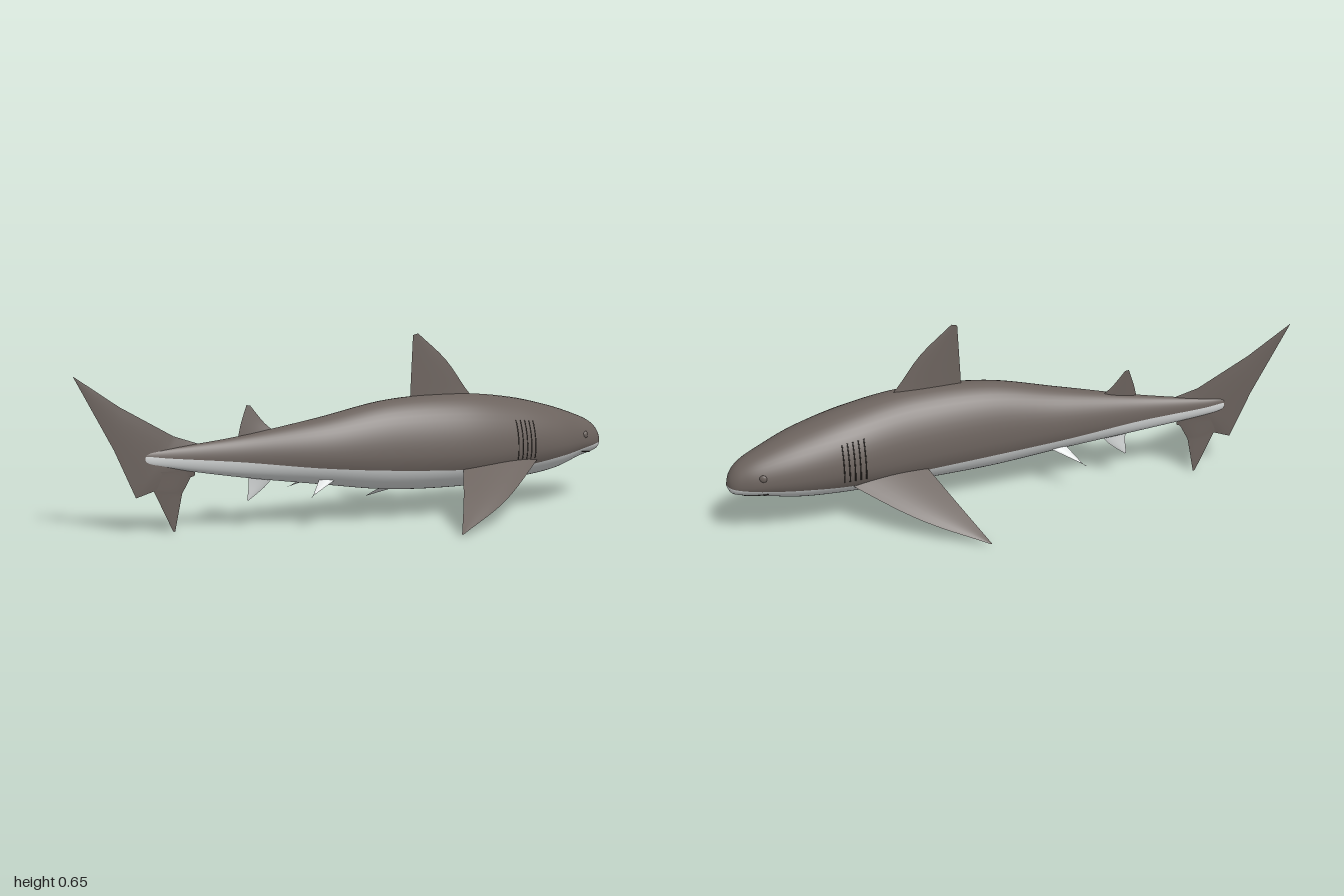
import * as THREE from 'three';

const V = (p) => new THREE.Vector3(...p);
const paint = (name, color) => {
  const m = new THREE.MeshStandardMaterial({ color });
  m.name = name;
  return m;
};

// Body stations, tail to nose: x, top, bottom, centre z, half width, widest y, belly line y
const stations = [
  [-0.772, 0.256, 0.256, -0.104, 0, 0.256, 0.256],
  [-0.76, 0.278, 0.236, -0.103, 0.008, 0.257, 0.264],
  [-0.68, 0.288, 0.218, -0.095, 0.017, 0.253, 0.255],
  [-0.45, 0.318, 0.178, -0.06, 0.042, 0.245, 0.235],
  [-0.18, 0.368, 0.14, -0.023, 0.084, 0.24, 0.205],
  [0.08, 0.42, 0.105, -0.002, 0.11, 0.235, 0.185],
  [0.35, 0.428, 0.096, 0.003, 0.131, 0.23, 0.172],
  [0.57, 0.403, 0.105, -0.018, 0.138, 0.23, 0.167],
  [0.75, 0.36, 0.122, -0.038, 0.124, 0.225, 0.185],
  [0.88, 0.317, 0.155, -0.062, 0.09, 0.22, 0.198],
  [0.95, 0.285, 0.168, -0.071, 0.062, 0.215, 0.205],
  [0.985, 0.25, 0.18, -0.075, 0.036, 0.21, 0.208],
  [1, 0.208, 0.208, -0.077, 0, 0.208, 0.208],
];
const last = stations.length - 1;
const spline = (pick) =>
  new THREE.CatmullRomCurve3(stations.map((s) => V(pick(s))), false, 'catmullrom', 0.5);
const outline = spline((s) => [s[0], s[1], s[2]]);
const girth = spline((s) => [s[3], Math.max(s[4], 0), s[5]]);
const bellyLine = spline((s) => [s[6], 0, 0]);

// Point on the skin at station number s (may be fractional) and angle a
function skin(s, a) {
  const o = outline.getPoint(s / last);
  const g = girth.getPoint(s / last);
  const sin = Math.sin(a);
  const y = g.z + sin * (sin > 0 ? o.y - g.z : g.z - o.z);
  return new THREE.Vector3(o.x, y, g.x + g.y * Math.cos(a));
}

// Angle at which the dark back meets the pale belly
function bellyAngle(s) {
  const o = outline.getPoint(s / last);
  const g = girth.getPoint(s / last);
  const d = bellyLine.getPoint(s / last).x - g.z;
  const h = Math.max(d > 0 ? o.y - g.z : g.z - o.z, 0.002);
  return Math.asin(THREE.MathUtils.clamp(d / h, -0.7, 0.7));
}

function bodyGeometry() {
  const up = 30, down = 22, n = up + down, rings = last * 9;
  const pos = [], index = [];
  for (let i = 0; i <= rings; i++) {
    const s = (i / rings) * last;
    const b = bellyAngle(s);
    for (let j = 0; j < n; j++) {
      const a = j < up
        ? b + (j / up) * (Math.PI - 2 * b)
        : Math.PI - b + ((j - up) / down) * (Math.PI + 2 * b);
      pos.push(...skin(s, a).toArray());
    }
  }
  for (let j = 0; j < n; j++) {
    for (let i = 0; i < rings; i++) {
      const k = (j + 1) % n;
      const a = i * n + j, b = a + n, c = (i + 1) * n + k, d = i * n + k;
      index.push(a, b, c, a, c, d);
    }
  }
  const geo = new THREE.BufferGeometry();
  geo.setAttribute('position', new THREE.Float32BufferAttribute(pos, 3));
  geo.setIndex(index);
  geo.addGroup(0, up * rings * 6, 0);
  geo.addGroup(up * rings * 6, down * rings * 6, 1);
  geo.computeVertexNormals();
  return geo;
}

// Fin lofted from leading edge to trailing edge, thick at the root, sharp at the rim.
// Group 0 is the side facing the normal, group 1 the other side.
function finGeometry(lead, trail, normal, thick, tension = 0.5) {
  const nu = 12, nv = 8;
  const edge = (pts) => new THREE.CatmullRomCurve3(pts.map(V), false, 'catmullrom', tension);
  const L = edge(lead), T = edge(trail), n = V(normal).normalize();
  const across = T.getPoint(0).sub(L.getPoint(0));
  const along = L.getPoint(1).sub(L.getPoint(0));
  const facing = across.cross(along).dot(n);
  const pos = [], index = [];
  const geo = new THREE.BufferGeometry();
  for (const side of [1, -1]) {
    const base = pos.length / 3, start = index.length;
    for (let i = 0; i <= nu; i++) {
      const u = i / nu, l = L.getPoint(u), t = T.getPoint(u);
      for (let j = 0; j <= nv; j++) {
        const v = j / nv;
        const h = thick * (1 - 0.95 * u) * Math.sin(Math.PI * Math.pow(v, 0.8));
        pos.push(...l.clone().lerp(t, v).addScaledVector(n, side * h).toArray());
      }
    }
    for (let i = 0; i < nu; i++) {
      for (let j = 0; j < nv; j++) {
        const a = base + i * (nv + 1) + j, b = a + 1, c = b + nv + 1, d = c - 1;
        if (facing * side > 0) index.push(a, b, c, a, c, d);
        else index.push(a, c, b, a, d, c);
      }
    }
    geo.addGroup(start, index.length - start, side > 0 ? 0 : 1);
  }
  geo.setAttribute('position', new THREE.Float32BufferAttribute(pos, 3));
  geo.setIndex(index);
  geo.computeVertexNormals();
  return geo;
}

export function createModel() {
  const model = new THREE.Group();
  model.name = 'shark';
  const back = paint('backGrey', 0x6b625d);
  const belly = paint('bellyWhite', 0xd6d9d9);
  const dark = paint('slitDark', 0x38332f);
  const add = (name, geo, mat) => {
    const mesh = new THREE.Mesh(geo, mat);
    mesh.name = name;
    model.add(mesh);
    return mesh;
  };

  add('body', bodyGeometry(), [back, belly]);

  // Fins on the midline
  const Z = [0, 0, 1];
  add('dorsalFin', finGeometry(
    [[0.45, 0.385, 0], [0.395, 0.438, 0], [0.31, 0.55, 0], [0.2, 0.647, 0]],
    [[0.17, 0.385, 0], [0.17, 0.43, 0], [0.175, 0.54, 0], [0.18, 0.642, 0]], Z, 0.012), [back, back]);
  add('rearDorsalFin', finGeometry(
    [[-0.32, 0.325, -0.05], [-0.36, 0.362, -0.058], [-0.405, 0.42, -0.065]],
    [[-0.455, 0.3, -0.061], [-0.44, 0.36, -0.063], [-0.418, 0.422, -0.066]], Z, 0.007), [back, back]);
  add('analFin', finGeometry(
    [[-0.32, 0.18, -0.05], [-0.36, 0.135, -0.058], [-0.415, 0.093, -0.064]],
    [[-0.42, 0.2, -0.058], [-0.415, 0.15, -0.061], [-0.42, 0.095, -0.064]], Z, 0.006), [belly, belly]);

  // Tail fin: long upper lobe and short lower lobe
  const across = [0.07, 0, 1];
  add('tailUpperLobe', finGeometry(
    [[-0.59, 0.3, -0.083], [-0.67, 0.328, -0.094], [-0.85, 0.435, -0.108], [-1, 0.543, -0.118]],
    [[-0.6, 0.19, -0.085], [-0.8, 0.125, -0.105], [-0.87, 0.29, -0.11], [-0.998, 0.538, -0.118]],
    across, 0.008, 0), [back, back]);
  add('tailLowerLobe', finGeometry(
    [[-0.6, 0.21, -0.085], [-0.643, 0.13, -0.092], [-0.667, 0, -0.1]],
    [[-0.78, 0.21, -0.104], [-0.74, 0.146, -0.1], [-0.674, 0.002, -0.1]],
    across, 0.007, 0), [back, back]);

  for (const s of [1, -1]) {
    const side = s > 0 ? 'left' : 'right';
    const angle = (a) => (s > 0 ? a : Math.PI - a);

    // Paired fins
    add(side + 'PectoralFin', finGeometry(
      [[0.66, 0.2, s * 0.08], [0.41, 0.085, s * 0.265], [0.18, 0.007, s * 0.38]],
      [[0.34, 0.2, s * 0.08], [0.25, 0.095, s * 0.25], [0.175, 0.007, s * 0.378]],
      [0, 0.845, s * 0.534], 0.015), [back, belly]);
    add(side + 'PelvicFin', finGeometry(
      [[-0.1, 0.175, -0.015 + s * 0.04], [-0.24, 0.113, -0.037 + s * 0.107]],
      [[-0.18, 0.175, -0.025 + s * 0.04], [-0.235, 0.113, -0.037 + s * 0.107]],
      [0, 1, s], 0.006), [belly, belly]);

    // Gill slits
    for (let k = 0; k < 5; k++) {
      const pts = [];
      for (let i = 0; i <= 8; i++) pts.push(skin(6.86 + k * 0.095, angle(-0.3 + i * 0.115)));
      add(side + 'GillSlit' + (k + 1),
        new THREE.TubeGeometry(new THREE.CatmullRomCurve3(pts), 16, 0.002, 5), dark);
    }

    // Eye bulge
    const eye = add(side + 'Eye', new THREE.SphereGeometry(0.013, 16, 12), back);
    eye.scale.z = 0.5;
    eye.position.copy(skin(9.05, angle(0.3)));
    eye.rotation.y = s * 0.4;
  }

  // Mouth line curving round the underside of the snout
  const lip = [];
  for (let i = 0; i <= 16; i++) {
    const f = i / 16;
    lip.push(skin(8.9 + 1.3 * Math.sin(Math.PI * f), -0.55 - f * (Math.PI - 1.1)));
  }
  add('mouth', new THREE.TubeGeometry(new THREE.CatmullRomCurve3(lip), 40, 0.002, 5), dark);

  return model;
}
